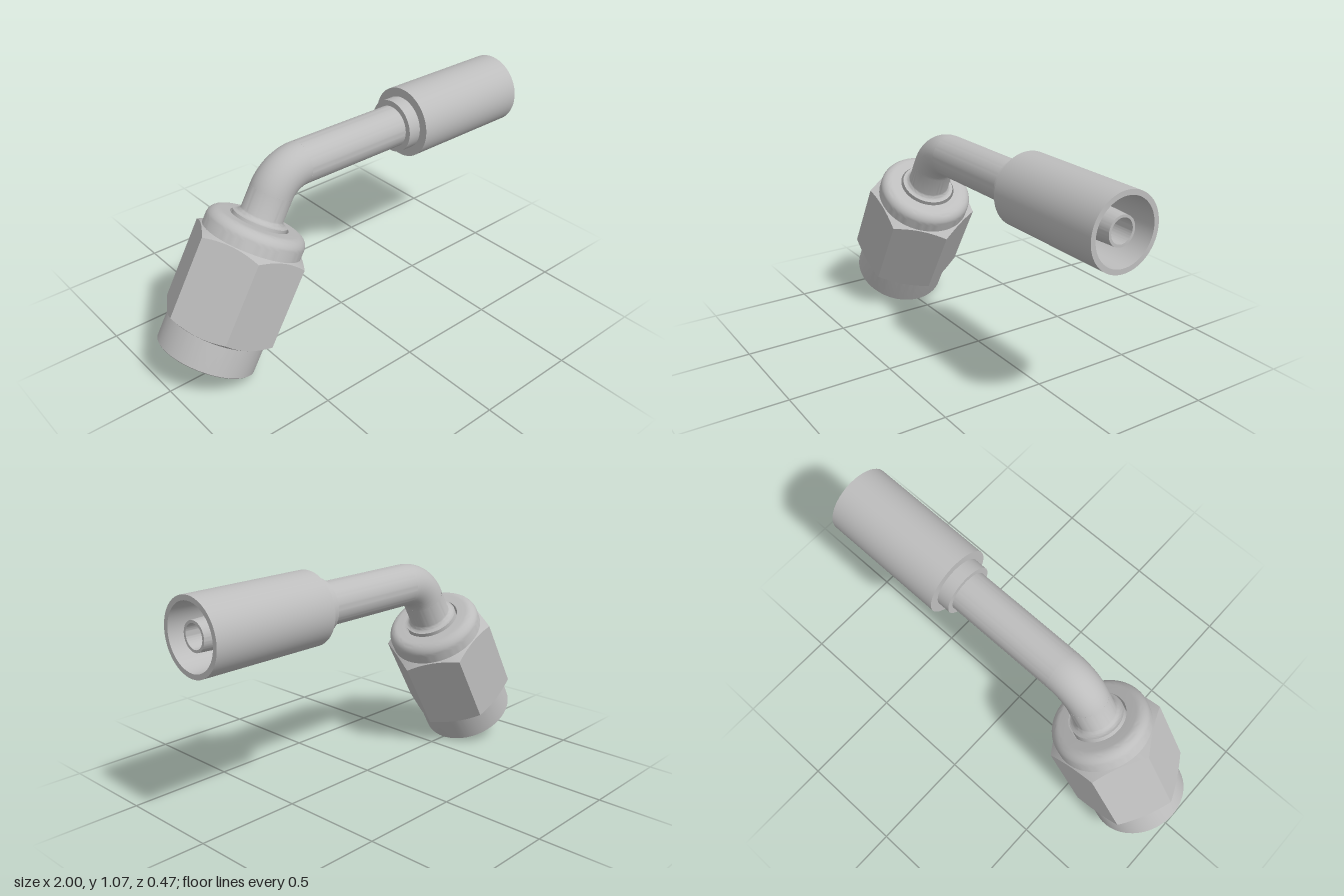
import * as THREE from 'three';
import { toCreasedNormals } from 'three/addons/utils/BufferGeometryUtils.js';

const steel = new THREE.MeshStandardMaterial({ color: 0xbdbdbd, side: THREE.DoubleSide });
steel.name = 'steel grey';

const BORE = 0.054, TUBE = 0.1, BEND = 0.18, TILT = Math.PI / 6;
const NUT = { x: -0.8, y: 0.117 };       // centre of the nut's open end
const AXIS_Y = 0.9, BEND_X = -0.244;     // outlet axis height, end of the bend

function part(name, geometry) {
  const mesh = new THREE.Mesh(toCreasedNormals(geometry, 0.5), steel);
  mesh.name = name;
  return mesh;
}

// Turned part: [radius, height] profile, outside going up, inside going down
function turned(name, profile) {
  return part(name, new THREE.LatheGeometry(profile.map(([r, y]) => new THREE.Vector2(r, y)), 72));
}

// Quarter-round profile points
function round(cx, cy, r, from, to, n = 8) {
  return Array.from({ length: n + 1 }, (_, i) => {
    const a = from + (to - from) * i / n;
    return [cx + r * Math.cos(a), cy + r * Math.sin(a)];
  });
}

// Hexagon whose corners are cut back by a cone at both ends
function hexagon() {
  const flat = 0.237, corner = flat / Math.cos(Math.PI / 6), low = 0.163, high = 0.545, slope = 0.55;
  const rows = [0, 1, 2, 3].map(i => new THREE.Vector2(1, i));
  const g = new THREE.LatheGeometry(rows, 72);
  const p = g.attributes.position;
  for (let i = 0; i < p.count; i++) {
    const row = Math.round(p.getY(i));
    const a = Math.atan2(p.getX(i), p.getZ(i));
    const off = a - Math.round(a / (Math.PI / 3)) * Math.PI / 3;
    const r = row === 0 || row === 3 ? 0.225 : flat / Math.cos(off);
    const rise = (corner - r) * slope;
    p.setXYZ(i, r * Math.sin(a), row < 2 ? low - rise : high + rise, r * Math.cos(a));
  }
  return part('nutHexagon', g);
}

export function createModel() {
  const model = new THREE.Group();
  model.name = 'angledHoseFitting';

  // Swivel nut and the tube end seated in it, tilted 30 degrees
  const nut = new THREE.Group();
  nut.name = 'swivelNut';
  nut.position.set(NUT.x, NUT.y, 0);
  nut.rotation.z = -TILT;
  nut.add(
    turned('nutBody', [
      [0.137, 0.66], [0.137, 0.45], [0.2, 0.45], [0.2, 0.015], [0.215, 0], [0.228, 0], [0.232, 0.004],
      ...round(0.182, 0.61, 0.05, 0, Math.PI / 2), [0.137, 0.66],
    ]),
    hexagon(),
    turned('seatedTubeEnd', [
      [TUBE - 0.046, 0.8], [BORE, 0.25], [0.08, 0.25], [0.19, 0.4], [0.19, 0.45], [0.128, 0.45], [0.128, 0.672],
      ...round(0.128, 0.7, 0.028, -Math.PI / 2, -Math.PI), [TUBE, 0.8],
    ]),
  );
  model.add(nut);

  // Bend, outside and bore
  for (const [name, r] of [['bendOutside', TUBE], ['bendBore', BORE]]) {
    const bend = part(name, new THREE.TorusGeometry(BEND, r, 40, 24, Math.PI / 3));
    bend.position.set(BEND_X, AXIS_Y - BEND, 0);
    bend.rotation.z = Math.PI / 2;
    model.add(bend);
  }

  // Straight outlet: heights in these profiles are x positions
  const outlet = new THREE.Group();
  outlet.name = 'outlet';
  outlet.position.y = AXIS_Y;
  outlet.rotation.z = -Math.PI / 2;
  outlet.add(
    turned('straightTube', [[TUBE, BEND_X], [TUBE, 0.36]]),
    turned('collar', [[0.09, 0.31], [0.127, 0.31], [0.127, 0.38]]),
    turned('crimpSleeve', [
      [0.08, 0.375], [0.17, 0.375], [0.17, 1], [0.147, 1], [0.13, 0.46], [0.08, 0.46],
    ]),
    turned('hoseNipple', [[0.083, 0.44], [0.083, 0.6], [0.066, 0.98], [BORE, 0.98], [BORE, BEND_X]]),
  );
  model.add(outlet);

  return model;
}
